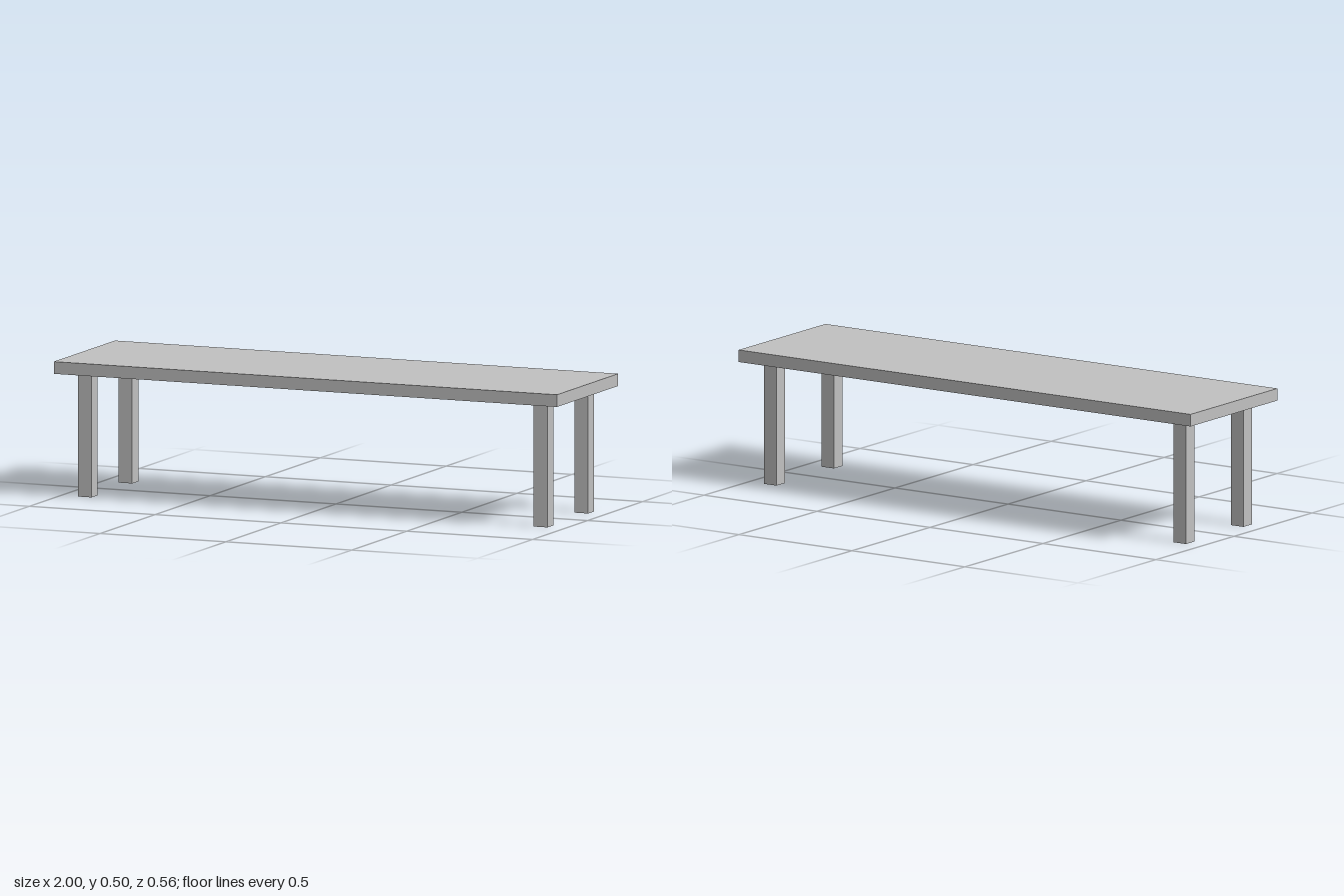
import * as THREE from 'three';

export function createModel() {
  const bench = new THREE.Group();
  bench.name = 'bench';

  const grey = new THREE.MeshStandardMaterial({ color: 0xc0c0c0 });
  grey.name = 'light grey';

  const topThickness = 0.045;
  const legHeight = 0.457;
  const legWidth = 0.055;

  // Flat slab seat
  const seat = new THREE.Mesh(new THREE.BoxGeometry(2, topThickness, 0.556), grey);
  seat.name = 'seat';
  seat.position.y = legHeight + topThickness / 2;
  bench.add(seat);

  // Four square legs, inset from the corners
  const legGeometry = new THREE.BoxGeometry(legWidth, legHeight, legWidth);
  for (const [xSide, sideName] of [[1, 'Left'], [-1, 'Right']]) {
    for (const [zSide, endName] of [[1, 'front'], [-1, 'back']]) {
      const leg = new THREE.Mesh(legGeometry, grey);
      leg.name = `${endName}${sideName}Leg`;
      leg.position.set(xSide * 0.906, legHeight / 2, zSide * 0.184);
      bench.add(leg);
    }
  }

  return bench;
}
